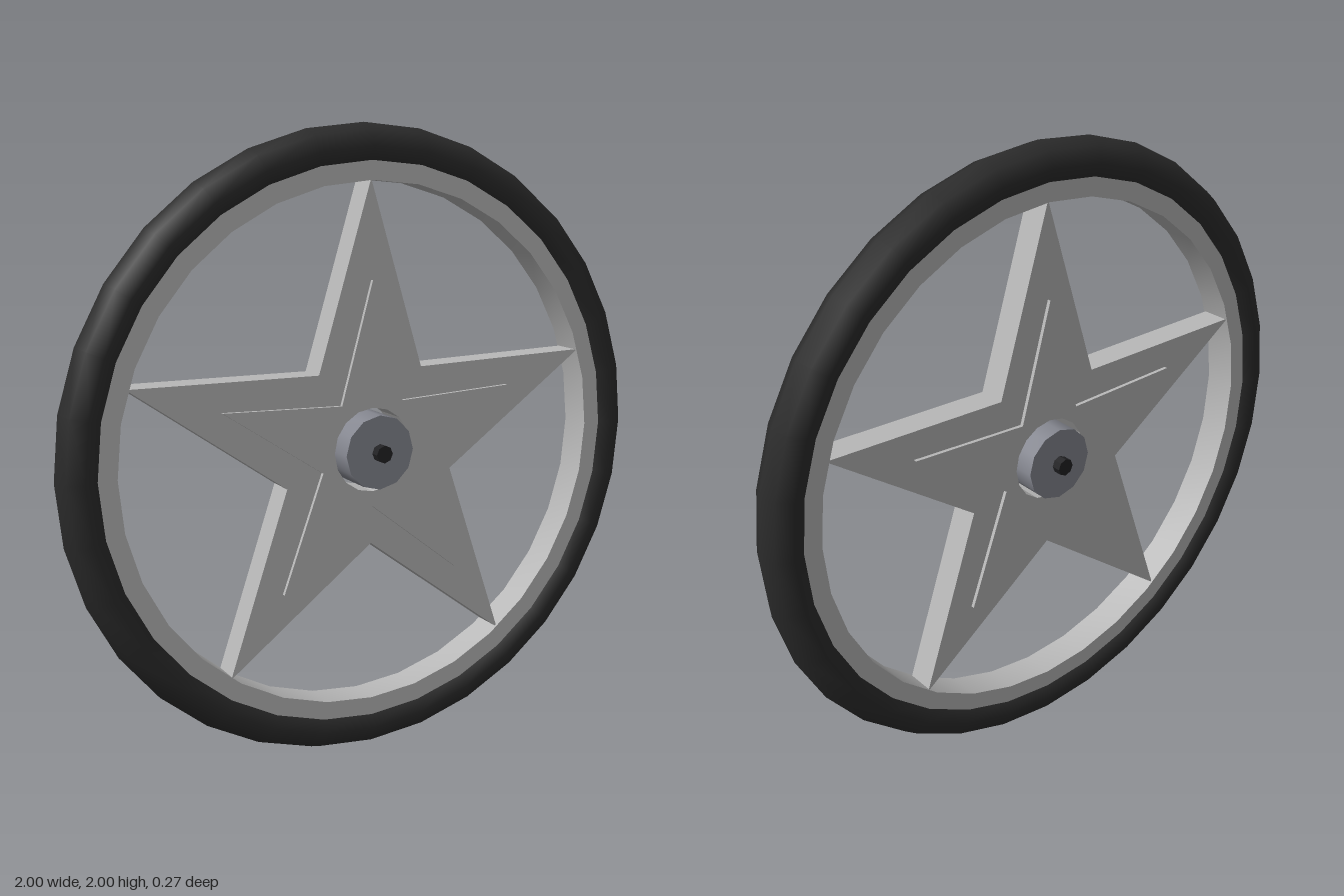
import * as THREE from 'three';
import { toCreasedNormals } from 'three/addons/utils/BufferGeometryUtils.js';

const material = (name, color) => new THREE.MeshStandardMaterial({ name, color });

// Five-pointed star outline, one point straight up
function starPoints(outer, inner) {
  const points = [];
  for (let i = 0; i < 10; i++) {
    const r = i % 2 ? inner : outer;
    const a = Math.PI / 2 + (i * Math.PI) / 5;
    points.push(new THREE.Vector2(r * Math.cos(a), r * Math.sin(a)));
  }
  return points;
}

// Star plate with a round hub hole, centred on z = 0
function starGeometry(outer, inner, hole, halfDepth) {
  const shape = new THREE.Shape(starPoints(outer, inner));
  const path = new THREE.Path();
  path.absarc(0, 0, hole, 0, Math.PI * 2, true);
  shape.holes.push(path);
  const geometry = new THREE.ExtrudeGeometry(shape, {
    depth: halfDepth * 2, bevelEnabled: false, curveSegments: 8,
  });
  return geometry.translate(0, 0, -halfDepth);
}

export function createModel() {
  const rubber = material('black rubber', 0x2b2b2b);
  const alloy = material('light alloy', 0xb8b8b8);
  const steel = material('blue grey steel', 0x868891);
  const darkSteel = material('dark axle', 0x222224);

  const wheel = new THREE.Group();
  wheel.name = 'wheel';
  wheel.position.y = 1;

  const add = (name, geometry, mat) => {
    const mesh = new THREE.Mesh(geometry, mat);
    mesh.name = name;
    wheel.add(mesh);
  };

  // Tyre
  add('tyre', new THREE.TorusGeometry(0.93, 0.07, 8, 32), rubber);

  // Rim: flat band tucked inside the tyre
  const section = [[0.83, 0.053], [0.83, -0.053], [0.91, -0.053], [0.91, 0.053], [0.83, 0.053]];
  const rim = new THREE.LatheGeometry(section.map(([x, y]) => new THREE.Vector2(x, y)), 32);
  add('rim', toCreasedNormals(rim.rotateX(Math.PI / 2), Math.PI / 6), alloy);

  // Star spokes, with a smaller star standing proud on both faces
  add('starSpokes', starGeometry(0.835, 0.307, 0.134, 0.046), alloy);
  add('raisedStar', starGeometry(0.53, 0.183, 0.134, 0.058), alloy);

  // Hub and axle
  const cylinder = (radius, length, sides) => toCreasedNormals(
    new THREE.CylinderGeometry(radius, radius, length, sides).rotateX(Math.PI / 2), Math.PI / 5);
  add('hub', cylinder(0.118, 0.21, 12), steel);
  add('axle', cylinder(0.028, 0.27, 8), darkSteel);

  const model = new THREE.Group();
  model.name = 'starWheel';
  model.add(wheel);
  return model;
}
